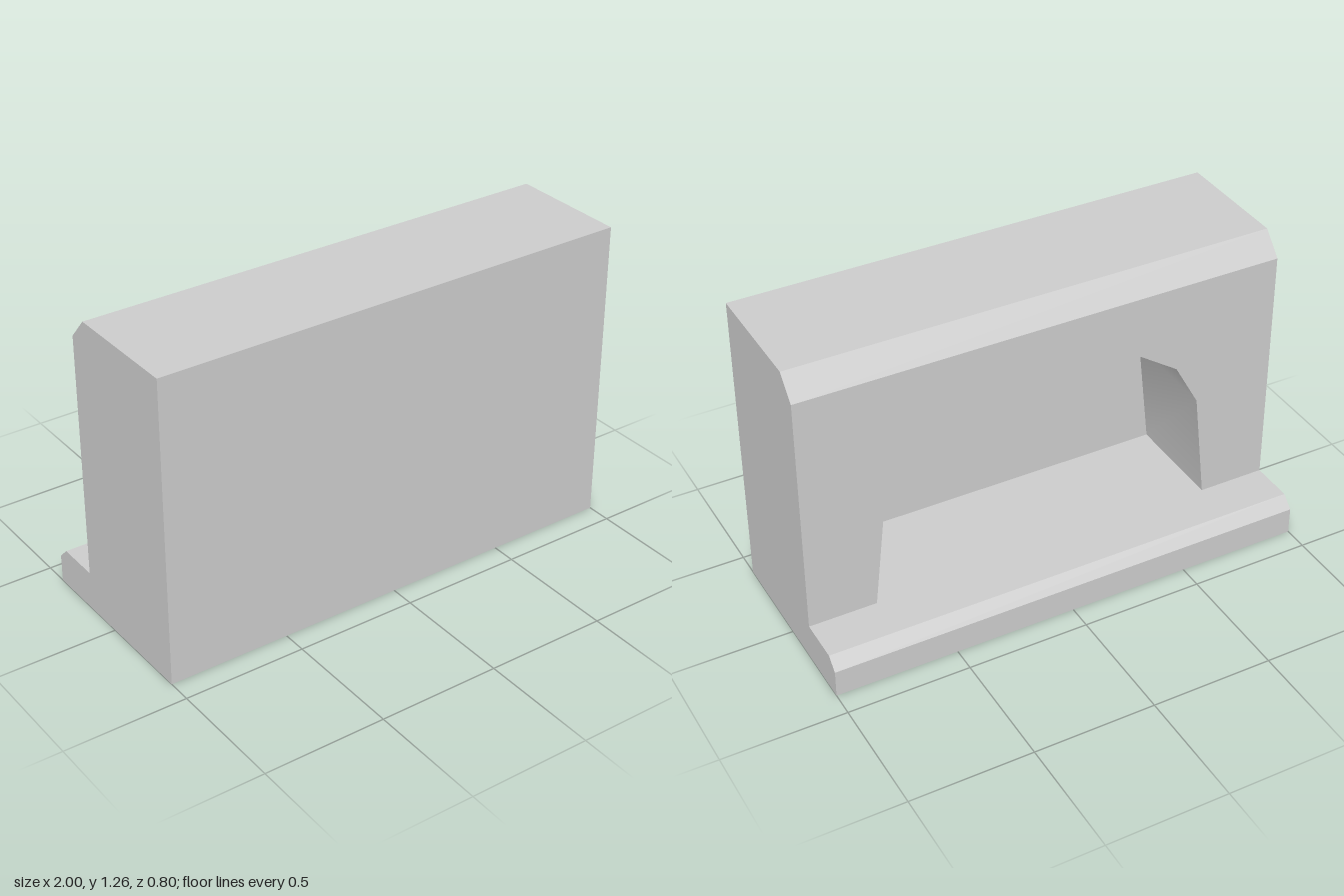
import * as THREE from 'three';
import { mergeGeometries, toCreasedNormals } from 'three/addons/utils/BufferGeometryUtils.js';

const HALF = 1;          // half width
const FACE = -0.173;     // z of the rear wall face
const DEEP = 0.256;      // z of the niche's end wall
const LEDGE = 0.16;      // height of the ledge and niche floor

// Side outline as [z, y]; the rear wall face lies between the two lists
const lower = [[0.4, 0], [-0.4, 0], [-0.4, 0.114], [-0.353, LEDGE], [FACE, LEDGE]];
const upper = [[FACE, 1.17], [-0.093, 1.26], [0.4, 1.26], [0.4, 0]];

// Arch outline as [x, y], mirrored about the crown
const halfArch = [[0.722, LEDGE], [0.67, 0.62], [0.569, 0.802], [0.39, 0.923]];
const arch = [...halfArch, [0, 1.014], ...halfArch.map(([x, y]) => [-x, y]).reverse()];

// Strip of quads joining two matching rows of points
function strip(a, b) {
  const pos = [];
  for (let i = 0; i < a.length - 1; i++) {
    pos.push(...a[i], ...b[i], ...b[i + 1], ...a[i], ...b[i + 1], ...a[i + 1]);
  }
  const g = new THREE.BufferGeometry();
  g.setAttribute('position', new THREE.Float32BufferAttribute(pos, 3));
  return g;
}

// Flat panel from a 2D outline, facing +z before it is turned
function panel(points, turn) {
  const g = new THREE.ShapeGeometry(new THREE.Shape(points.map(p => new THREE.Vector2(...p))));
  g.rotateY(turn);
  const flat = g.toNonIndexed();
  flat.deleteAttribute('uv');
  flat.deleteAttribute('normal');
  return flat;
}

function mesh(name, parts) {
  const geometry = toCreasedNormals(mergeGeometries(parts), THREE.MathUtils.degToRad(38));
  const m = new THREE.Mesh(geometry, new THREE.MeshStandardMaterial({ color: 0xcccccc }));
  m.name = name;
  return m;
}

export function createModel() {
  const group = new THREE.Group();
  group.name = 'nicheWall';

  // Outer block: outline swept across the width, two ends, rear face around the arch
  const sweep = row => strip(row.map(([z, y]) => [HALF, y, z]), row.map(([z, y]) => [-HALF, y, z]));
  const outline = [...lower, ...upper.slice(0, -1)];
  const rearOutline = [[HALF, LEDGE], [HALF, 1.17], [-HALF, 1.17], [-HALF, LEDGE], ...[...arch].reverse()];
  group.add(mesh('wallBlock', [
    sweep(lower),
    sweep(upper),
    panel(outline.map(([z, y]) => [-z, y]), Math.PI / 2).translate(HALF, 0, 0),
    panel(outline, -Math.PI / 2).translate(-HALF, 0, 0),
    panel(rearOutline, Math.PI).translate(0, 0, FACE),
  ]));

  // Arched niche: sides, vault and floor in one loop, closed by an end wall
  const loop = [...arch, arch[0]];
  group.add(mesh('archedNiche', [
    strip(loop.map(([x, y]) => [x, y, FACE]), loop.map(([x, y]) => [x, y, DEEP])),
    panel(arch, Math.PI).translate(0, 0, DEEP),
  ]));

  return group;
}
